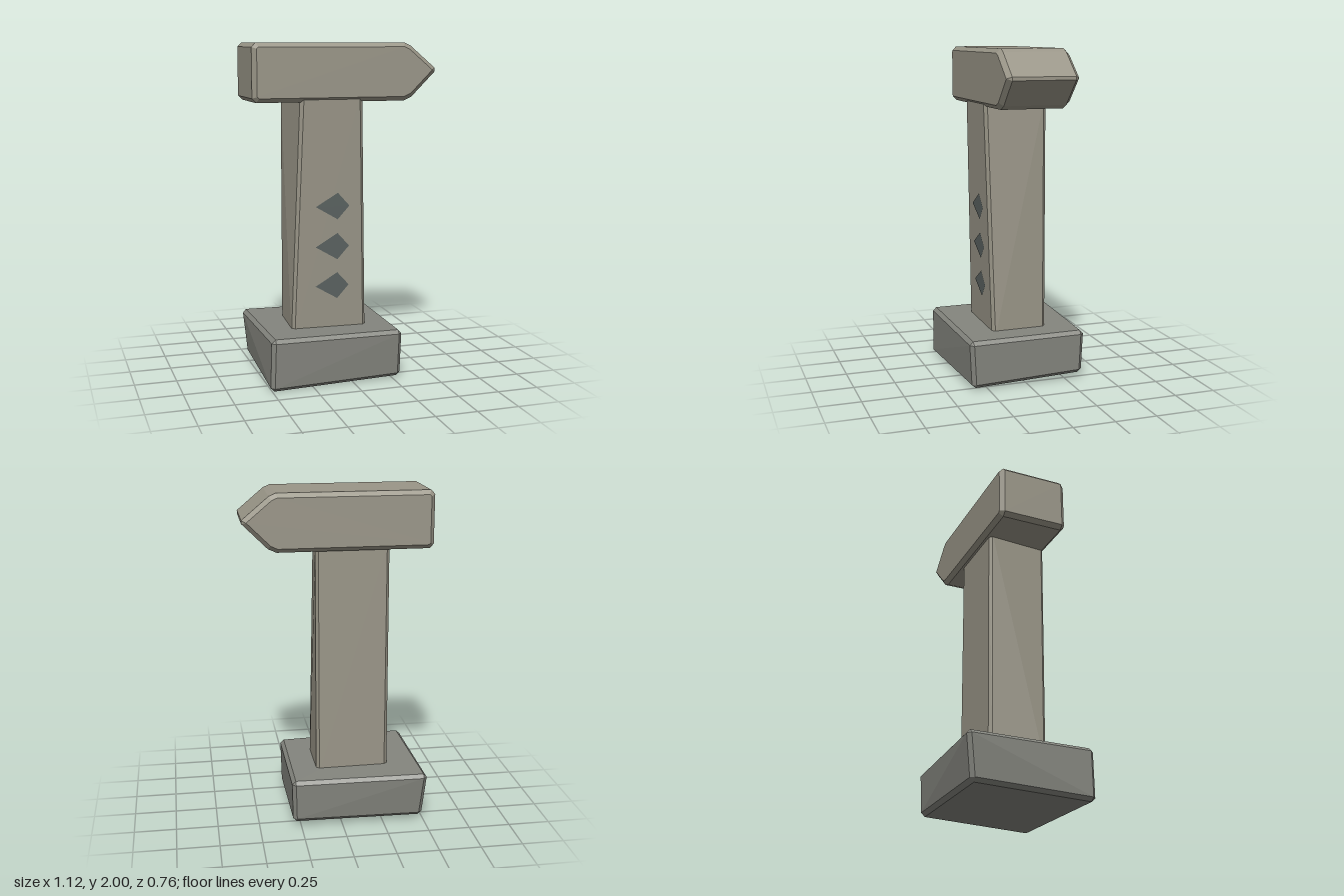
import * as THREE from 'three';
import { ConvexGeometry } from 'three/addons/geometries/ConvexGeometry.js';

const material = (color) => new THREE.MeshStandardMaterial({ color });

// Chamfered six-sided block. Corner order: index bit 1 = +x, bit 2 = +y, bit 4 = +z.
function chamferedBlock(corners, bevel) {
  const v = corners.map((c) => new THREE.Vector3(...c));
  const points = [];
  v.forEach((corner, i) => {
    const edges = [1, 2, 4].map((bit) => v[i ^ bit].clone().sub(corner).setLength(bevel));
    for (let face = 0; face < 3; face++) {
      points.push(corner.clone().add(edges[(face + 1) % 3]).add(edges[(face + 2) % 3]));
    }
  });
  return new ConvexGeometry(points);
}

export function createModel() {
  const model = new THREE.Group();
  const stone = material(0x9a9688);
  const darkStone = material(0x84857e);
  const inlay = material(0x5b6361);

  const add = (name, geometry, mat) => {
    const mesh = new THREE.Mesh(geometry, mat);
    mesh.name = name;
    model.add(mesh);
    return mesh;
  };

  // Uneven foot block
  add('base', chamferedBlock([
    [-0.49, 0.03, -0.35], [0.3, 0.04, -0.35],
    [-0.515, 0.31, -0.385], [0.305, 0.305, -0.36],
    [-0.51, 0, 0.38], [0.3, 0.012, 0.345],
    [-0.5, 0.312, 0.382], [0.305, 0.3, 0.36],
  ], 0.022), darkStone);

  // Leaning post, its ends sunk into base and head
  add('post', chamferedBlock([
    [-0.305, 0.25, -0.17], [0.135, 0.25, -0.17],
    [-0.305, 1.7, -0.17], [0.135, 1.7, -0.17],
    [-0.33, 0.25, 0.169], [0.135, 0.25, 0.169],
    [-0.275, 1.7, 0.206], [0.1, 1.7, 0.206],
  ], 0.018), stone);

  // Pointed head, chamfered all round
  const outline = [
    [-0.56, 1.685], [-0.535, 1.66], [0.36, 1.66], [0.41, 1.683], [0.557, 1.83],
    [0.557, 1.85], [0.4, 1.982], [0.36, 2], [-0.535, 2], [-0.56, 1.975],
  ];
  const head = add('head', new THREE.ExtrudeGeometry(
    new THREE.Shape(outline.map(([x, y]) => new THREE.Vector2(x, y))),
    { depth: 0.375, bevelEnabled: true, bevelSegments: 1, bevelSize: 0.025, bevelThickness: 0.026, bevelOffset: -0.025 },
  ), stone);
  head.position.z = -0.184;

  // Column of kite-shaped marks lying on the leaning front face
  const kite = new THREE.Shape([
    new THREE.Vector2(-0.185, 0), new THREE.Vector2(-0.05, -0.08),
    new THREE.Vector2(0.022, 0), new THREE.Vector2(-0.05, 0.08),
  ]);
  [0.562, 0.802, 1.045].forEach((y, i) => {
    const mark = add(`mark${i + 1}`, new THREE.ShapeGeometry(kite), inlay);
    mark.position.set(0, y, 0.173 + (y - 0.25) * 0.0255);
    mark.rotation.x = 0.0255;
  });

  return model;
}
